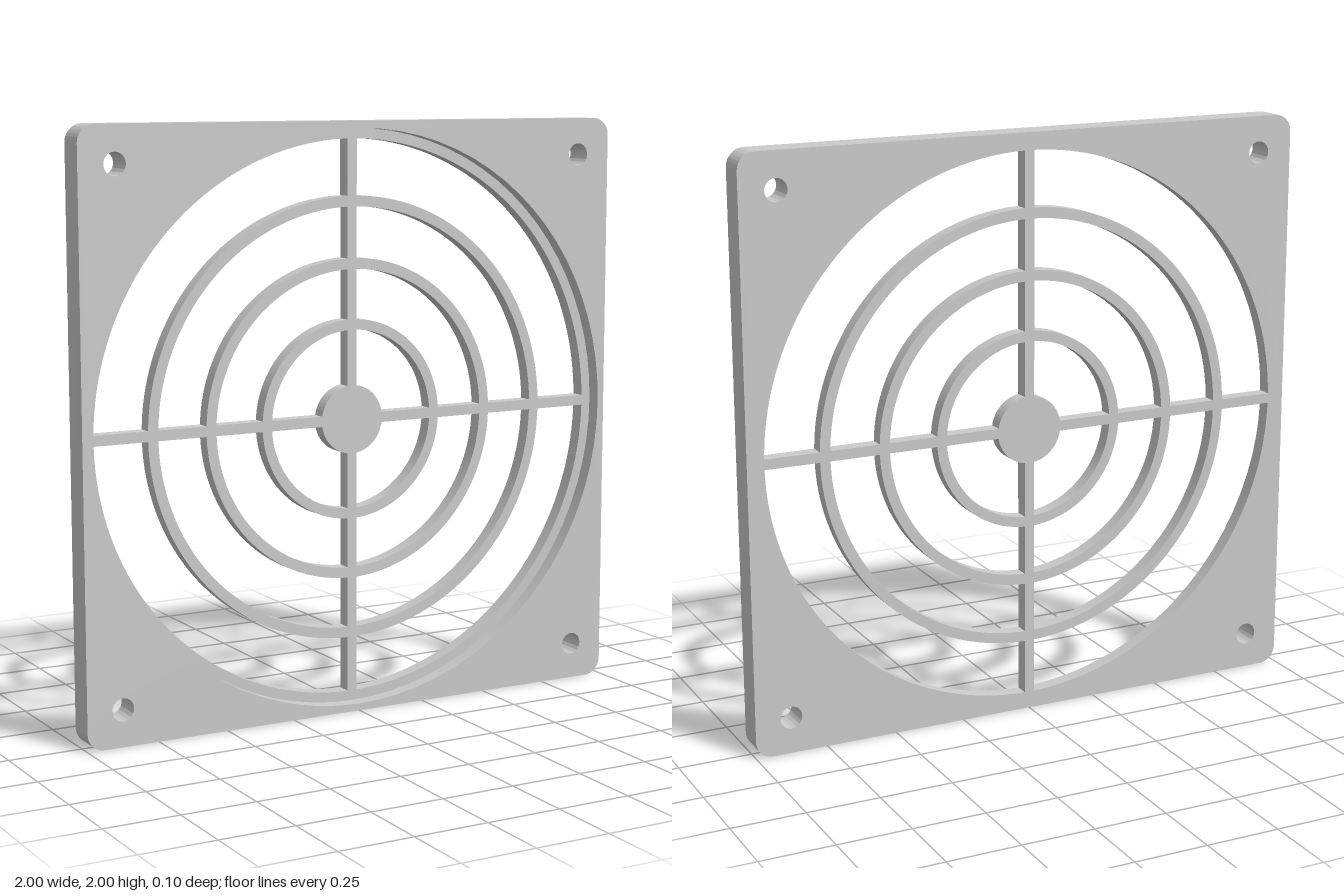
import * as THREE from 'three';
import { toCreasedNormals } from 'three/addons/utils/BufferGeometryUtils.js';

const DEPTH = 0.1;           // frame thickness
const GRILLE_DEPTH = 0.05;   // grille sits flush with the back of the frame
const RECESS = 0.976;        // radius of the front recess
const SPOKE = 0.0175;        // half width of a spoke
// inner and outer radius of each open gap, from the hub outwards
const GAPS = [[0.116, 0.304], [0.339, 0.508], [0.544, 0.716], [0.752, 0.941]];

const material = new THREE.MeshStandardMaterial({ color: 0xcccccc });

function circle(x, y, r) {
  return new THREE.Path().absarc(x, y, r, 0, Math.PI * 2, false);
}

// Quarter of a ring, trimmed parallel to the spokes on both sides
function gapHole(inner, outer, quarter) {
  const start = quarter * Math.PI / 2;
  const end = start + Math.PI / 2;
  const a = Math.asin(SPOKE / outer);
  const b = Math.asin(SPOKE / inner);
  const path = new THREE.Path();
  path.absarc(0, 0, outer, start + a, end - a, false);
  path.absarc(0, 0, inner, end - b, start + b, true);
  path.closePath();
  return path;
}

function roundedSquare(half, r) {
  const s = new THREE.Shape();
  const c = half - r;
  [[c, c], [-c, c], [-c, -c], [c, -c]].forEach(([x, y], i) => {
    s.absarc(x, y, r, i * Math.PI / 2, (i + 1) * Math.PI / 2, false);
  });
  s.closePath();
  return s;
}

function plate(name, shape, depth, curveSegments) {
  const geometry = new THREE.ExtrudeGeometry(shape, { depth, curveSegments, bevelEnabled: false });
  const mesh = new THREE.Mesh(toCreasedNormals(geometry, 0.5), material);
  mesh.name = name;
  mesh.position.set(0, 1, -DEPTH / 2);
  return mesh;
}

export function createModel() {
  const group = new THREE.Group();
  group.name = 'fanGuard';

  // Square frame with a large opening and four screw holes
  const frame = roundedSquare(1, 0.06);
  frame.holes.push(circle(0, 0, RECESS));
  for (const x of [-0.875, 0.875]) {
    for (const y of [-0.875, 0.875]) frame.holes.push(circle(x, y, 0.038));
  }
  group.add(plate('frame', frame, DEPTH, 40));

  // Grille: ledge, rings, spokes and hub left standing between the gaps
  const grille = new THREE.Shape().absarc(0, 0, RECESS, 0, Math.PI * 2, false);
  for (const [inner, outer] of GAPS) {
    for (let q = 0; q < 4; q++) grille.holes.push(gapHole(inner, outer, q));
  }
  group.add(plate('grille', grille, GRILLE_DEPTH, 40));

  return group;
}
